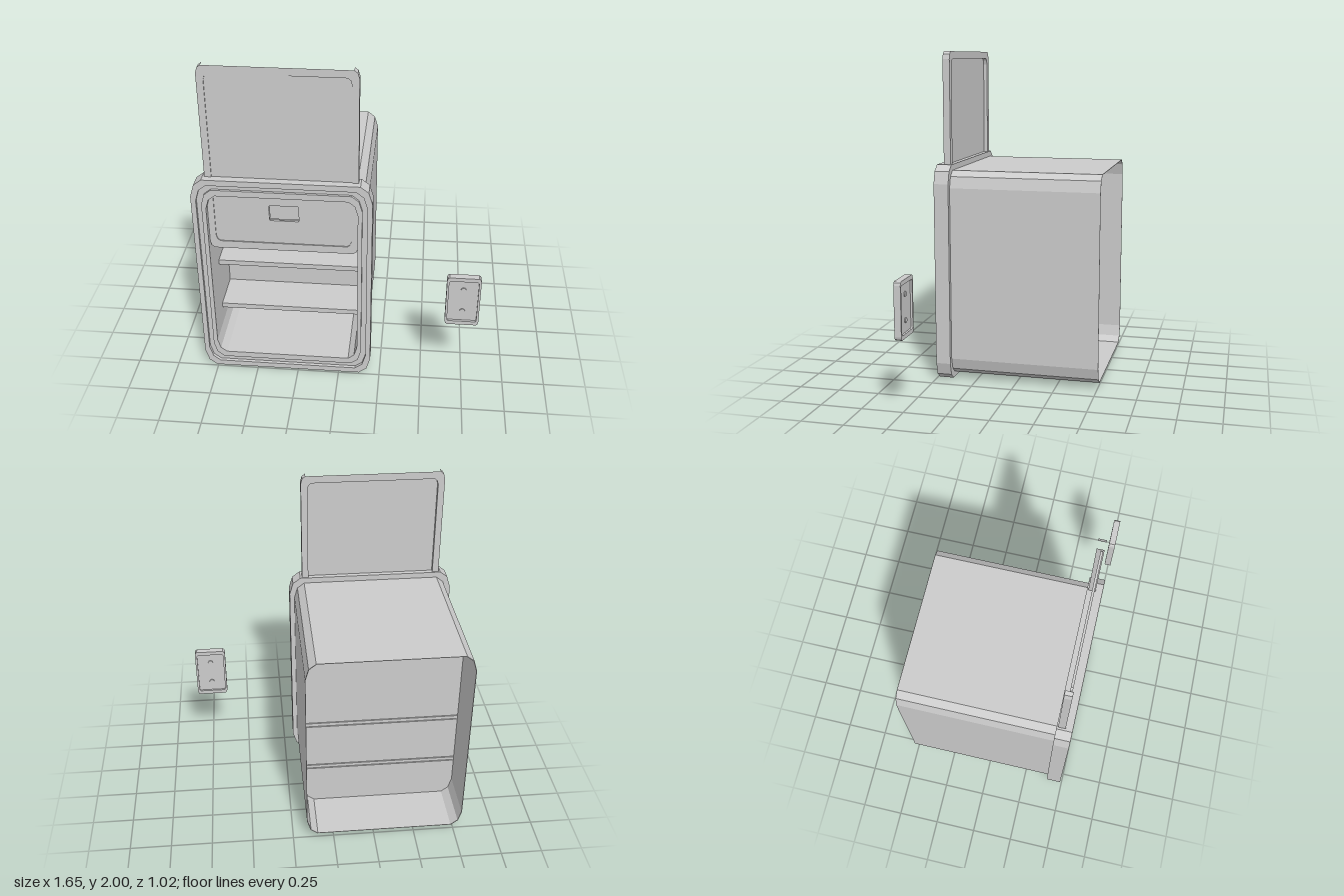
import * as THREE from 'three';

const MID = -0.317; // centre line of the cabinet

export function createModel() {
  const model = new THREE.Group();
  const grey = new THREE.MeshStandardMaterial({ color: 0xcccccc, flatShading: true });

  // Rectangle with two-facet cut corners; k scales the corner size
  const outline = (cx, halfW, y0, y1, k) => {
    const corner = [[0, 0.11], [0.022, 0.036], [0.068, 0]].map(([a, b]) => [a * k, b * k]);
    const back = [...corner].reverse();
    return [
      ...corner.map(([a, b]) => new THREE.Vector2(cx - halfW + a, y0 + b)),
      ...back.map(([a, b]) => new THREE.Vector2(cx + halfW - a, y0 + b)),
      ...corner.map(([a, b]) => new THREE.Vector2(cx + halfW - a, y1 - b)),
      ...back.map(([a, b]) => new THREE.Vector2(cx - halfW + a, y1 - b)),
    ];
  };

  const rect = (x0, x1, y0, y1) => [[x0, y0], [x1, y0], [x1, y1], [x0, y1]].map(p => new THREE.Vector2(...p));

  // Extrude an outline, with optional holes, from z0 to z1
  const slab = (name, points, holes, z0, z1, parent = model) => {
    const shape = new THREE.Shape(points);
    holes.forEach(h => shape.holes.push(new THREE.Path(h)));
    const geo = new THREE.ExtrudeGeometry(shape, { depth: z1 - z0, bevelEnabled: false });
    geo.translate(0, 0, z0);
    const mesh = new THREE.Mesh(geo, grey);
    mesh.name = name;
    parent.add(mesh);
    return mesh;
  };

  // Nested outlines shared by the frame, shell and liner
  const outer = outline(MID, 0.51, 0, 1.33, 1);
  const body = outline(MID, 0.481, 0.034, 1.295, 0.92);
  const grooveIn = outline(MID, 0.453, 0.066, 1.264, 0.88);
  const opening = outline(MID, 0.428, 0.104, 1.227, 0.78);

  // Cabinet shell, open at the rear
  slab('cabinetShell', body, [outline(MID, 0.478, 0.037, 1.292, 0.92)], -0.51, 0.4);

  // Front frame: outer rim, sunken groove, inner lip
  slab('frameRim', outer, [body], 0.4, 0.49);
  slab('frameGroove', body, [grooveIn], 0.4, 0.47);
  slab('frameLip', grooveIn, [opening], 0.4, 0.485);

  // Interior compartment
  slab('compartmentLiner', outline(MID, 0.43, 0.102, 1.229, 0.78), [opening], 0.04, 0.4);
  slab('compartmentBack', opening, [], 0.035, 0.04);

  // Recessed rear panel, with a pair of narrow grooves behind each shelf
  const shelfY = [0.294, 0.622];
  const grooves = shelfY.flatMap(y => [y, y + 0.027].map(g => rect(MID - 0.474, MID + 0.474, g, g + 0.007)));
  slab('rearPanel', outline(MID, 0.479, 0.036, 1.293, 0.92), grooves, -0.2, -0.19);
  grooves.forEach(g => slab('rearPanelGroove', g, [], -0.193, -0.19));

  // Shelves
  shelfY.forEach(y => slab('shelf', rect(MID - 0.428, MID + 0.428, y, y + 0.032), [], 0.04, 0.292));

  // Sliding door, raised through the top of the frame
  const door = new THREE.Group();
  door.name = 'slidingDoor';
  model.add(door);
  const doorInner = outline(MID, 0.391, 0.905, 1.955, 0.35);
  const grip = outline(-0.31, 0.084, 1.056, 1.155, 0.06);
  const border = slab('doorBorder', outline(MID, 0.43, 0.858, 2, 0.42), [doorInner], 0.408, 0.45, door);
  slab('doorPanel', doorInner, [grip], 0.431, 0.444, door);
  slab('gripRecess', grip, [], 0.42, 0.426, door);

  // The door's top edge is open: drop the faces lying in its top plane
  const pos = border.geometry.getAttribute('position');
  const kept = [];
  for (let i = 0; i < pos.count; i += 3) {
    const corners = [i, i + 1, i + 2];
    if (corners.some(c => pos.getY(c) < 1.9999)) kept.push(...corners);
  }
  border.geometry.clearGroups();
  border.geometry.setIndex(kept);

  // Separate wall plate with a sunken face and two pegs
  const plate = new THREE.Group();
  plate.name = 'wallPlate';
  model.add(plate);
  const PX = 0.725;
  const plateInner = outline(PX, 0.085, 0.462, 0.745, 0.1);
  slab('plateBorder', outline(PX, 0.098, 0.437, 0.77, 0.2), [plateInner], 0.472, 0.512, plate);
  slab('plateFace', plateInner, [], 0.484, 0.498, plate);
  [0.53, 0.68].forEach(y => {
    const peg = new THREE.Mesh(new THREE.CylinderGeometry(0.016, 0.016, 0.026, 8), grey);
    peg.name = 'platePeg';
    peg.rotation.x = Math.PI / 2;
    peg.position.set(PX, y, 0.491);
    plate.add(peg);
  });

  return model;
}
